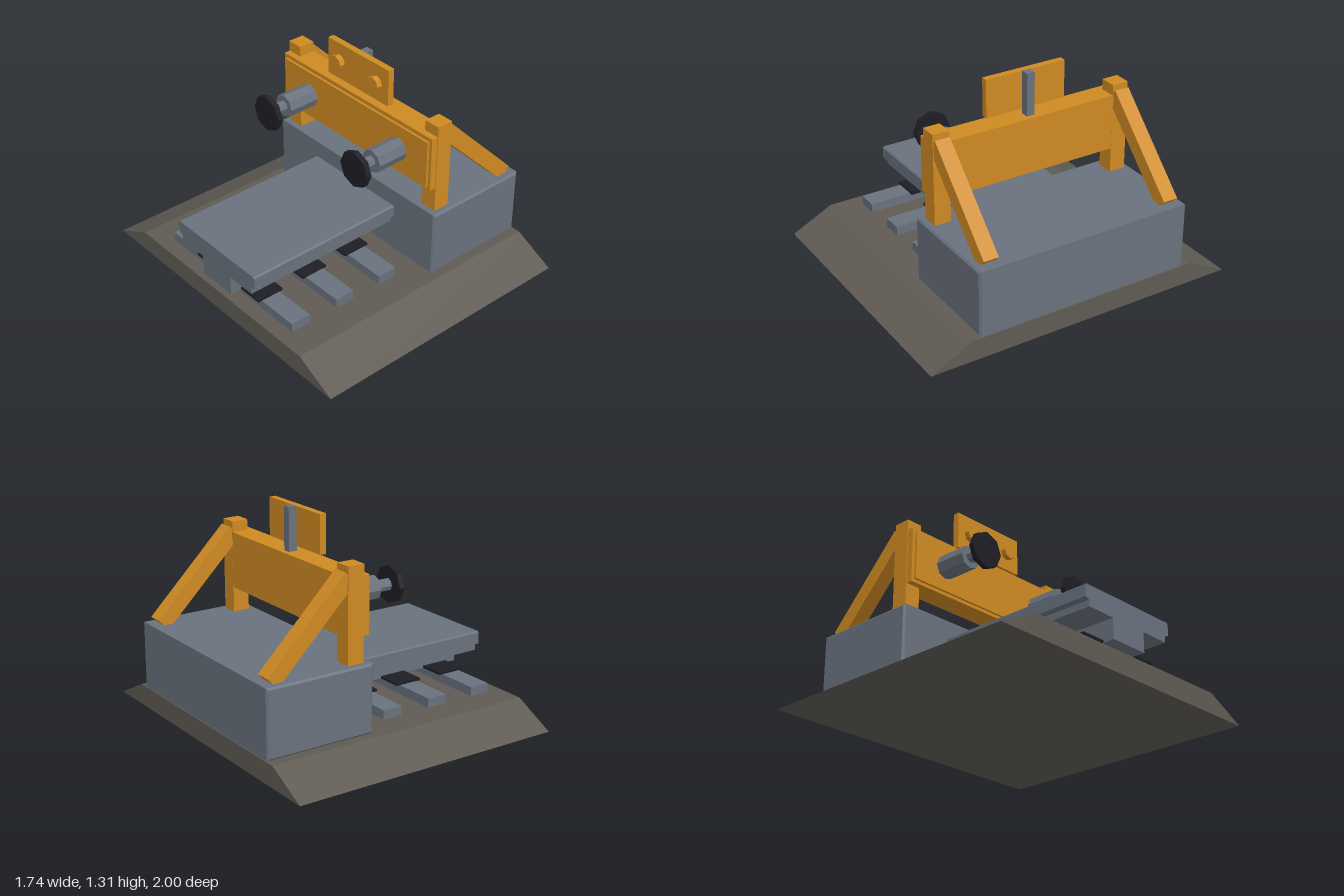
import * as THREE from 'three';

export function createModel() {
  const model = new THREE.Group();
  model.name = 'railBufferStop';

  const material = (name, color) => {
    const m = new THREE.MeshStandardMaterial({ color });
    m.name = name;
    return m;
  };
  const steel = material('steelGrey', 0x69717d);
  const orange = material('frameOrange', 0xcf8a22);
  const gravel = material('gravelBrown', 0x5f5b53);
  const black = material('rubberBlack', 0x1d1d24);

  const add = (name, geometry, mat) => {
    const mesh = new THREE.Mesh(geometry, mat);
    mesh.name = name;
    model.add(mesh);
    return mesh;
  };
  // Box given by its lower and upper limits
  const box = (name, mat, x0, x1, y0, y1, z0, z1) =>
    add(name, new THREE.BoxGeometry(x1 - x0, y1 - y0, z1 - z0), mat)
      .position.set((x0 + x1) / 2, (y0 + y1) / 2, (z0 + z1) / 2);
  // Eight-sided rod lying along x
  const rod = (name, mat, x0, x1, radius, y, z) => {
    const g = new THREE.CylinderGeometry(radius, radius, x1 - x0, 8).toNonIndexed();
    g.rotateZ(Math.PI / 2);
    g.computeVertexNormals();
    add(name, g, mat).position.set((x0 + x1) / 2, y, z);
  };
  const shapeOf = (points) => new THREE.Shape(points.map(([a, b]) => new THREE.Vector2(a, b)));
  // Half profile in (z, y), mirrored and extruded along x
  const prism = (name, mat, half, x0, x1) => {
    const points = [...half, ...half.map(([z, y]) => [-z, y]).reverse()];
    const g = new THREE.ExtrudeGeometry(shapeOf(points), { depth: x1 - x0, bevelEnabled: false });
    g.rotateY(Math.PI / 2);
    add(name, g, mat).position.x = x0;
  };

  // Ballast bed with sloping sides
  prism('ballastBed', gravel, [[1, 0], [0.74, 0.13]], -0.87, 0.87);

  // Rail with a wide head and a narrow web
  prism('rail', steel, [
    [0.13, 0.185], [0.13, 0.31], [0.325, 0.31], [0.325, 0.35],
    [0.355, 0.36], [0.355, 0.43], [0.345, 0.438],
  ], -0.87, 0.18);

  // Sleepers with dark pads under the rail
  for (const x of [-0.71, -0.385, -0.06]) {
    box('sleeper', steel, x - 0.064, x + 0.064, 0.13, 0.187, -0.56, 0.56);
    box('railPad', black, x - 0.088, x + 0.088, 0.186, 0.2, -0.29, 0.29);
  }

  // Chamfered foundation block
  const c = 0.012;
  const [bx0, bx1, by0, by1, bz] = [0.175, 0.867, 0.132, 0.545, 0.69];
  const blockShape = shapeOf([
    [bx0 + c, by0 + c], [bx1 - c, by0 + c], [bx1 - c, by1 - c], [bx0 + c, by1 - c],
  ]);
  const block = new THREE.ExtrudeGeometry(blockShape, {
    depth: 2 * (bz - c), bevelSize: c, bevelThickness: c, bevelSegments: 1,
  });
  block.translate(0, 0, c - bz);
  add('foundationBlock', block, steel);

  // Cross beam and its face plate
  box('crossBeam', orange, 0.175, 0.319, 0.7, 1.045, -0.645, 0.645);
  box('beamFacePlate', orange, 0.16, 0.176, 0.72, 1.02, -0.625, 0.625);

  // Sign board on its stem
  box('signStem', steel, 0.235, 0.288, 1.04, 1.307, -0.025, 0.025);
  box('signBoard', orange, 0.195, 0.236, 1.073, 1.307, -0.26, 0.26);

  // Parts that repeat on both sides
  const braceShape = shapeOf([
    [0.318, 1.065], [0.335, 1.08], [0.835, 0.58], [0.8, 0.545], [0.738, 0.545], [0.318, 0.96],
  ]);
  for (const side of [1, -1]) {
    const z = side * 0.598;
    box('post', orange, 0.215, 0.32, 0.54, 1.11, z - 0.052, z + 0.052);
    const brace = new THREE.ExtrudeGeometry(braceShape, { depth: 0.094, bevelEnabled: false });
    add('diagonalBrace', brace, orange).position.z = z - 0.047;

    rod('bufferBarrel', steel, -0.045, 0.165, 0.073, 0.87, side * 0.39);
    rod('bufferPlunger', steel, -0.15, -0.04, 0.037, 0.87, side * 0.39);
    rod('bufferHead', black, -0.178, -0.144, 0.113, 0.87, side * 0.39);
    rod('signBolt', orange, 0.16, 0.2, 0.047, 1.187, side * 0.16);
  }
  return model;
}
